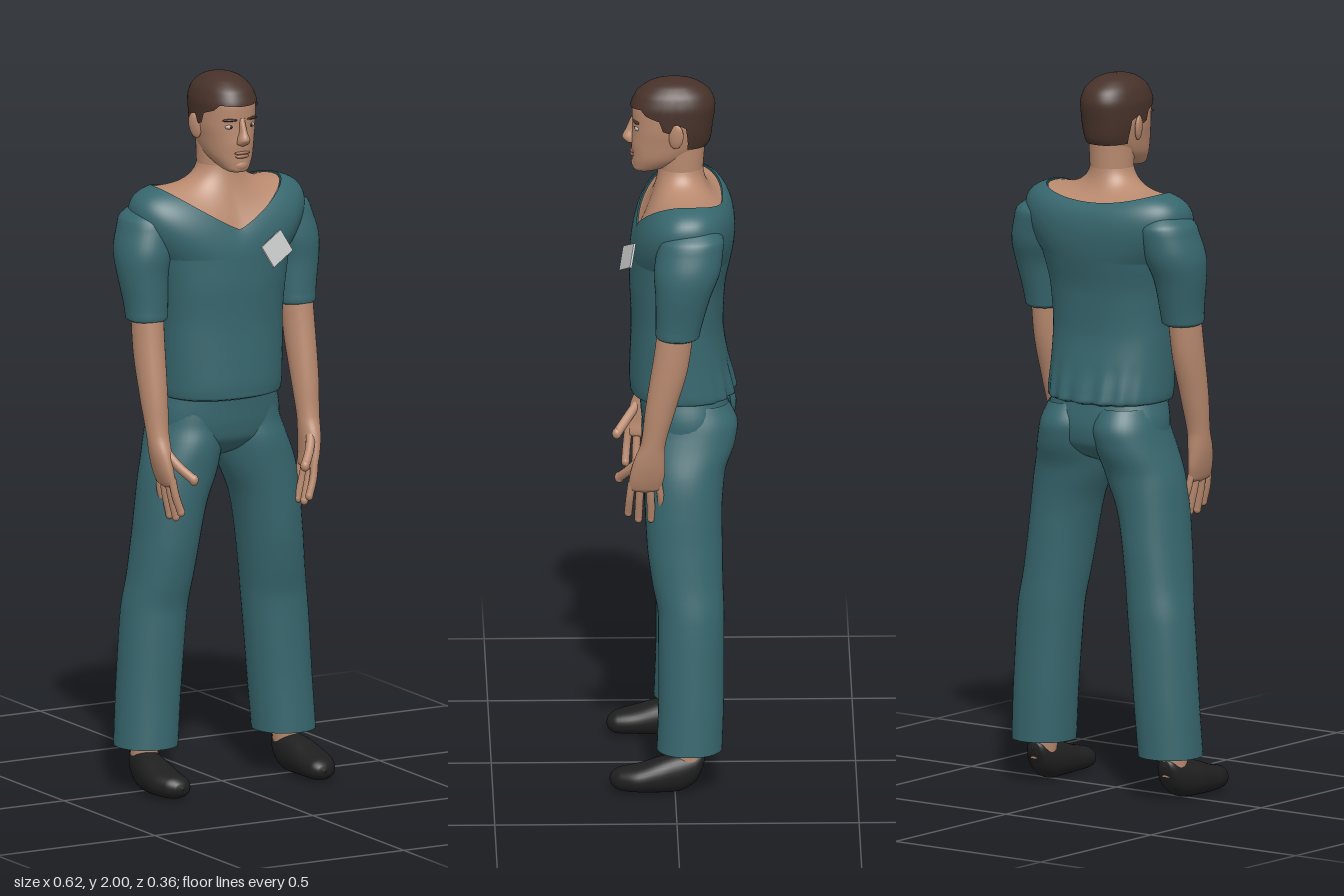
import * as THREE from 'three';

const TAU = Math.PI * 2;
const lerp = THREE.MathUtils.lerp;
const paint = (name, color, side = THREE.FrontSide) => {
  const m = new THREE.MeshStandardMaterial({ color, side });
  m.name = name;
  return m;
};

// Superellipse direction: n = 2 is round, larger is boxier
const oval = (a, n) => [Math.cos(a), Math.sin(a)].map(c => Math.sign(c) * Math.abs(c) ** (2 / n));

// Smooth closed tube from fn(angle, v) -> [x, y, z], v running upward
function surface(fn, nu, nv) {
  const pos = [], idx = [];
  for (let j = 0; j <= nv; j++)
    for (let i = 0; i < nu; i++) pos.push(...fn(i / nu * TAU, j / nv));
  for (let j = 0; j < nv; j++)
    for (let i = 0; i < nu; i++) {
      const a = j * nu + i, b = j * nu + (i + 1) % nu;
      idx.push(a, a + nu, b, b, a + nu, b + nu);
    }
  const g = new THREE.BufferGeometry();
  g.setAttribute('position', new THREE.Float32BufferAttribute(pos, 3));
  g.setIndex(idx);
  g.computeVertexNormals();
  return g;
}

// Section at height y, by monotone cubic through rows [y, cx, cz, rx, rz]
function sectionAt(S, y) {
  let i = 0;
  while (i < S.length - 2 && y > S[i + 1][0]) i++;
  const slope = (k, c) => (S[k + 1][c] - S[k][c]) / (S[k + 1][0] - S[k][0]);
  const tangent = (k, c) => {
    if (k === 0) return slope(0, c);
    if (k === S.length - 1) return slope(k - 1, c);
    const p = slope(k - 1, c), q = slope(k, c);
    return p * q <= 0 ? 0 : 2 * p * q / (p + q);
  };
  const h = S[i + 1][0] - S[i][0], t = (y - S[i][0]) / h, t2 = t * t, t3 = t2 * t;
  return [1, 2, 3, 4].map(c => (2 * t3 - 3 * t2 + 1) * S[i][c] + (t3 - 2 * t2 + t) * h * tangent(i, c)
    + (3 * t2 - 2 * t3) * S[i + 1][c] + (t3 - t2) * h * tangent(i + 1, c));
}

function ringPoint(S, a, y, n = 2, grow = 0) {
  const [cx, cz, rx, rz] = sectionAt(S, y), [c, s] = oval(a, n);
  return [cx + (rx + grow) * c, y, cz + (rz + grow) * s];
}

function loft(S, side = 1, n = 2, nu = 32, sub = 5) {
  const R = S.map(r => [r[0], r[1] * side, ...r.slice(2)]), rows = (R.length - 1) * sub;
  return surface((a, v) => {
    const k = Math.min(Math.floor(v * (R.length - 1) + 1e-6), R.length - 2);
    return ringPoint(R, a, lerp(R[k][0], R[k + 1][0], v * (R.length - 1) - k), n);
  }, nu, rows);
}

const headRows = [
  [1.734, 0, .085, .001, .001], [1.738, 0, .08, .026, .027], [1.755, 0, .058, .045, .055],
  [1.785, 0, .03, .062, .084], [1.825, 0, .01, .071, .106], [1.87, 0, .005, .078, .108],
  [1.92, 0, .002, .079, .112], [1.955, 0, 0, .07, .1], [1.982, 0, 0, .047, .067],
  [1.992, 0, 0, .026, .037], [1.995, 0, 0, .001, .001]];
const shirtRows = [
  [1.098, 0, -.025, .158, .128], [1.105, 0, -.025, .175, .144], [1.13, 0, -.022, .178, .143],
  [1.2, 0, -.015, .178, .135], [1.3, 0, -.01, .178, .127], [1.4, 0, -.01, .186, .131], [1.5, 0, -.02, .205, .14]];
const pelvisRows = [
  [.925, 0, -.03, .01, .03], [.95, 0, -.035, .09, .085], [.99, 0, -.037, .185, .118],
  [1.04, 0, -.035, .185, .125], [1.12, 0, -.025, .165, .122]];
const legRows = [
  [.125, .218, -.04, .087, .09], [.3, .206, -.045, .089, .09], [.5, .19, -.045, .091, .091],
  [.6, .176, -.035, .089, .098], [.7, .163, -.028, .09, .104], [.8, .148, -.025, .095, .106],
  [.9, .121, -.028, .106, .112], [.98, .1, -.042, .1, .126], [1.03, .09, -.05, .095, .125], [1.09, .085, -.04, .08, .11]];
const sleeveRows = [
  [1.325, .235, -.007, .044, .05], [1.333, .235, -.007, .056, .06], [1.36, .235, -.01, .058, .063],
  [1.45, .238, -.022, .068, .076], [1.53, .227, -.035, .08, .092], [1.6, .208, -.045, .08, .09], [1.65, .2, -.05, .03, .04]];
const forearmRows = [
  [.872, .222, .082, .004, .02], [.885, .224, .082, .017, .045], [.92, .231, .077, .022, .048],
  [.97, .236, .07, .028, .043], [1.02, .238, .06, .031, .034], [1.12, .239, .04, .038, .042],
  [1.25, .238, .012, .043, .05], [1.38, .235, -.005, .044, .05]];
// Shoe rows run heel to toe: [z, cx, -cy, half width, half height]
const shoeRows = [
  [-.083, .225, -.1, .001, .001], [-.078, .225, -.097, .022, .02], [-.055, .226, -.075, .036, .045],
  [-.01, .229, -.06, .045, .054], [.04, .234, -.054, .051, .049], [.1, .236, -.045, .053, .038],
  [.15, .23, -.041, .042, .031], [.174, .226, -.04, .022, .017], [.18, .225, -.04, .001, .001]];
const noseRows = [
  [1.812, 0, .112, .004, .006], [1.82, 0, .116, .018, .016], [1.832, 0, .12, .017, .021],
  [1.855, 0, .116, .01, .015], [1.89, 0, .108, .008, .008]];

// V neckline of the shirt, high on the shoulders
function neckline(a, inset = 0) {
  const [c, s] = oval(a, Math.sin(a) < 0 ? 2.6 : 2), w = Math.abs(c);
  const y = s > 0 ? 1.575 + .115 * w ** 1.15 : 1.66 + .03 * w * w;
  return [(.19 - inset) * c, y - inset, -.03 + (s > 0 ? .13 : .105) * s * (1 - inset * 5)];
}
const bend = (p, q, r, t) => p.map((e, i) => (1 - t) ** 2 * e + 2 * t * (1 - t) * q[i] + t * t * r[i]);

// Hairline height around the head
function hairline(a) {
  const f = Math.sin(a);
  const stops = [[-1, 1.812], [-.42, 1.815], [-.3, 1.88], [-.02, 1.895], [.02, 1.865], [.2, 1.872], [.28, 1.9], [.6, 1.912], [.75, 1.928], [1, 1.924]];
  const k = Math.max(1, stops.findIndex(p => p[0] >= f - 1e-9)), [p, q] = [stops[k - 1], stops[k]];
  return lerp(p[1], q[1], (f - p[0]) / (q[0] - p[0]));
}

export function createModel() {
  const skin = paint('skin', 0xb98a6f), hair = paint('hair', 0x47322a, THREE.DoubleSide);
  const cloth = paint('teal cloth', 0x37676e, THREE.DoubleSide), shoe = paint('black shoe', 0x1f1f20);
  const card = paint('pale card', 0xc9cbca), lip = paint('lips', 0x9f6f5a);
  const white = paint('eye white', 0xb8aca2), dark = paint('iris', 0x2a1d18);
  const model = new THREE.Group();
  const add = (name, geometry, material, parent = model) => {
    const m = new THREE.Mesh(geometry, material);
    m.name = name;
    parent.add(m);
    return m;
  };
  const ball = (name, mat, x, y, z, sx, sy, sz) => {
    const m = add(name, new THREE.SphereGeometry(1, 20, 14), mat);
    m.position.set(x, y, z);
    m.scale.set(sx, sy, sz);
    return m;
  };

  // Shirt: body with pleats at the back hem, then the yoke up to the neckline
  const bodyPoint = (a, y) => {
    const p = ringPoint(shirtRows, a, y, 2.3);
    const pleat = Math.max(0, -Math.sin(a)) * Math.max(0, 1 - (y - 1.1) / .12) * .006 * Math.cos(a * 18);
    p[2] += pleat;
    return p;
  };
  add('shirtBody', surface((a, v) => bodyPoint(a, 1.098 + .402 * v ** 1.5), 96, 34), cloth);
  add('shirtYoke', surface((a, v) => {
    const n = neckline(a), [c, s] = oval(a, 2.3);
    return bend(bodyPoint(a, 1.5), [.325 * c, n[1] - .03, -.035 + .152 * s], n, v);
  }, 96, 18), cloth);

  // Bare chest, shoulders and neck
  add('chest', surface((a, v) => {
    const [c, s] = oval(a, 2);
    return bend(neckline(a, .004), [.075 * c, 1.685, -.02 + .065 * s], [.06 * c, 1.745, -.02 + .062 * s], v);
  }, 64, 16), skin);
  add('neck', loft([[1.7, 0, -.02, .058, .06], [1.745, 0, -.02, .06, .062], [1.84, 0, -.02, .062, .07]]), skin);

  // Head and face
  add('head', loft(headRows, 1, 2.2, 48), skin);
  add('hair', surface((a, v) => {
    const e = hairline(a), y = lerp(e, 1.995, Math.sin(v * Math.PI / 2));
    const p = ringPoint(headRows, a, y, 2.2, v < 1 ? .005 : 0);
    p[1] += .005 * v;
    return p;
  }, 128, 28), hair);
  add('nose', loft(noseRows, 1, 2, 20), skin);
  ball('upperLip', lip, 0, 1.793, .112, .025, .005, .007);
  ball('lowerLip', lip, 0, 1.783, .111, .021, .006, .008);
  ball('chin', skin, 0, 1.757, .098, .025, .018, .018);

  // Trousers seat
  add('trouserSeat', loft(pelvisRows, 1, 2.2, 48), cloth);

  for (const s of [1, -1]) {
    const side = s > 0 ? 'left' : 'right';
    const finger = (name, pts, r) => {
      const path = new THREE.CatmullRomCurve3(pts.map(([x, y, z]) => new THREE.Vector3(x * s, y, z)));
      add(name, new THREE.TubeGeometry(path, 10, r, 10), skin);
      const tip = path.getPoint(1);
      ball(name + 'Tip', skin, tip.x, tip.y, tip.z, r, r * 1.2, r);
    };
    // Face pairs
    ball(side + 'Eye', white, s * .032, 1.867, .099, .014, .007, .009);
    ball(side + 'Iris', dark, s * .032, 1.867, .105, .005, .005, .004);
    ball(side + 'Brow', hair, s * .034, 1.886, .104, .022, .004, .007).rotation.set(0, s * .3, 0);
    const ear = ball(side + 'Ear', skin, s * .082, 1.857, -.006, .009, .036, .021);
    ear.rotation.set(-.15, -s * .35, -s * .12);
    // Arm and hand
    add(side + 'Sleeve', loft(sleeveRows, s, 2.1, 40), cloth);
    add(side + 'Forearm', loft(forearmRows, s), skin);
    [[.118, .128, .808], [.094, .1, .79], [.07, .065, .79], [.045, .035, .81]].forEach(([z0, z1, y], i) =>
      finger(side + 'Finger' + (i + 1), [[.226, .905, z0], [.218, .855, lerp(z0, z1, .6)], [.203, y, z1]], i === 3 ? .0095 : .011));
    finger(side + 'Thumb', [[.23, .975, .09], [.207, .935, .122], [.176, .9, .152]], .013);
    // Leg and foot
    add(side + 'TrouserLeg', loft(legRows, s, 2.1, 40), cloth);
    add(side + 'Ankle', loft([[.07, .226, -.035, .036, .042], [.3, .215, -.045, .04, .045]], s), skin);
    add(side + 'Shoe', loft(shoeRows, s, 2.2).rotateX(Math.PI / 2), shoe);
  }

  // Name card clipped on the chest
  const badge = add('chestCard', new THREE.BoxGeometry(.088, .068, .006), card);
  badge.position.set(.1, 1.515, .128);
  badge.rotation.set(-.3, .22, .43, 'YXZ');

  return model;
}
